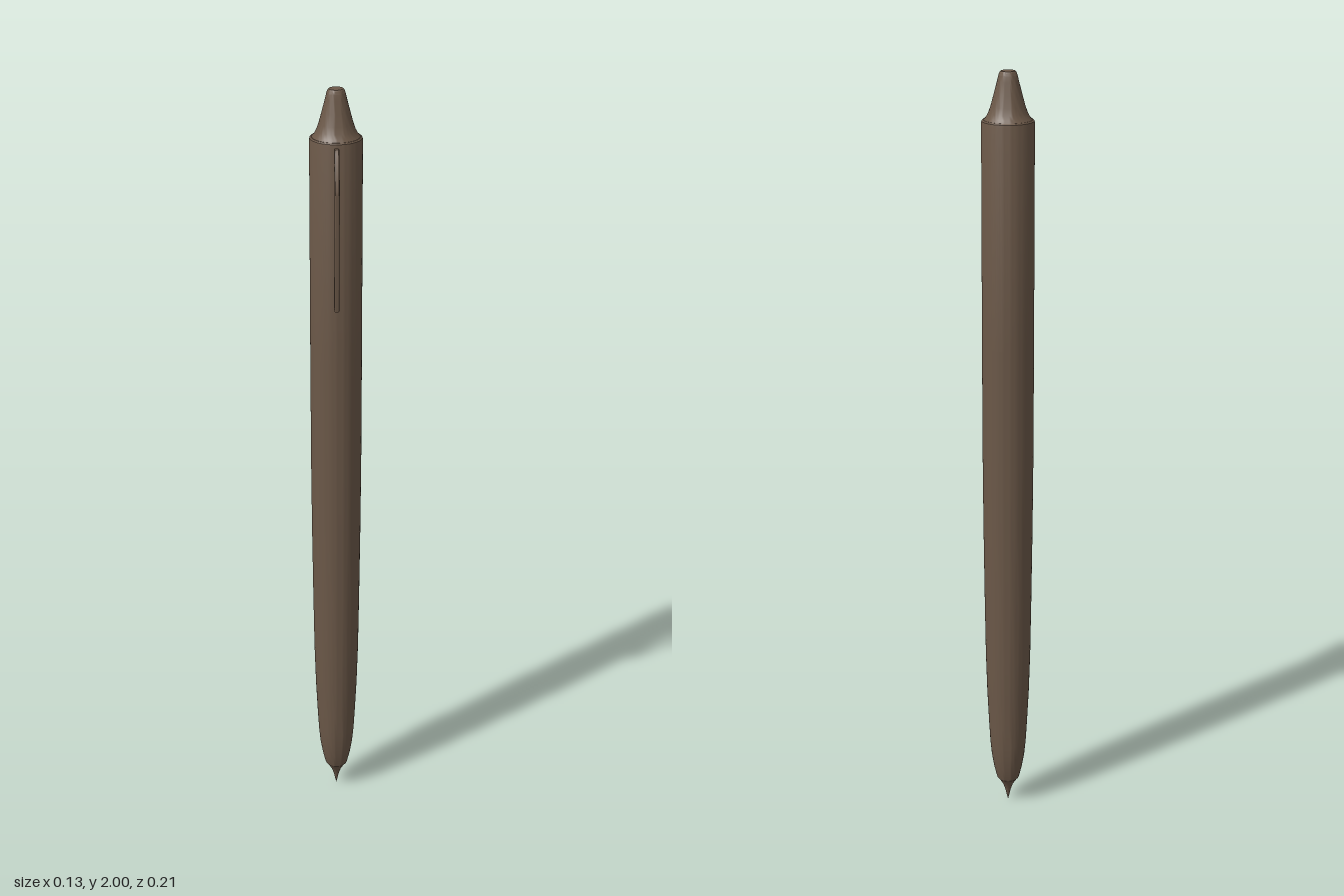
import * as THREE from 'three';
import { toCreasedNormals } from 'three/addons/utils/BufferGeometryUtils.js';

const material = new THREE.MeshStandardMaterial({ color: 0x6b5848 });

function addMesh(parent, name, geometry) {
  const mesh = new THREE.Mesh(geometry, material);
  mesh.name = name;
  parent.add(mesh);
  return mesh;
}

const points = (list) => list.map(([x, y]) => new THREE.Vector2(x, y));

// Turned part from [radius, height] pairs, bottom to top
function turned(profile) {
  return toCreasedNormals(new THREE.LatheGeometry(points(profile), 64), 0.5);
}

export function createModel() {
  const pen = new THREE.Group();
  pen.name = 'pen';
  const body = new THREE.Group();
  body.name = 'body';
  body.position.z = -0.04;
  pen.add(body);

  // Fine writing point with a concave flare
  addMesh(body, 'nib', turned([
    [0, 0], [0.003, 0.012], [0.007, 0.03], [0.013, 0.047], [0.021, 0.06], [0.027, 0.068], [0.027, 0.075],
  ]));

  // Long barrel, tapering to the nib
  addMesh(body, 'barrel', turned([
    [0, 0.07], [0.029, 0.07], [0.031, 0.076], [0.038, 0.105], [0.044, 0.14], [0.048, 0.18], [0.0515, 0.24],
    [0.056, 0.33], [0.0595, 0.44], [0.062, 0.6], [0.0645, 0.8], [0.066, 1.0], [0.0665, 1.3],
    [0.0665, 1.872], [0.0655, 1.877], [0.062, 1.88], [0, 1.88],
  ]));

  // Flared push button on top
  addMesh(body, 'button', turned([
    [0.062, 1.878], [0.055, 1.886], [0.049, 1.897], [0.043, 1.914], [0.035, 1.944], [0.027, 1.975],
    [0.0235, 1.99], [0.021, 1.997], [0.018, 2.0], [0, 2.0],
  ]));

  // Bent clip: side outline as [distance from axis, height]
  const outline = new THREE.Shape(points([
    [0.055, 1.872], [0.07, 1.866], [0.084, 1.874], [0.1, 1.874], [0.109, 1.867], [0.146, 1.782], [0.146, 1.772],
    [0.102, 1.455], [0.085, 1.458], [0.128, 1.771], [0.128, 1.777], [0.1, 1.848], [0.09, 1.855],
    [0.078, 1.85], [0.069, 1.84], [0.055, 1.83],
  ]));
  const width = 0.013, bevel = 0.004;
  const clip = new THREE.ExtrudeGeometry(outline, {
    depth: width - 2 * bevel, bevelEnabled: true, bevelThickness: bevel,
    bevelSize: bevel, bevelOffset: -bevel, bevelSegments: 3,
  });
  clip.translate(0, 0, bevel - width / 2).rotateY(-Math.PI / 2);
  addMesh(body, 'clip', toCreasedNormals(clip, 0.6)).rotation.y = -0.145;

  return pen;
}
